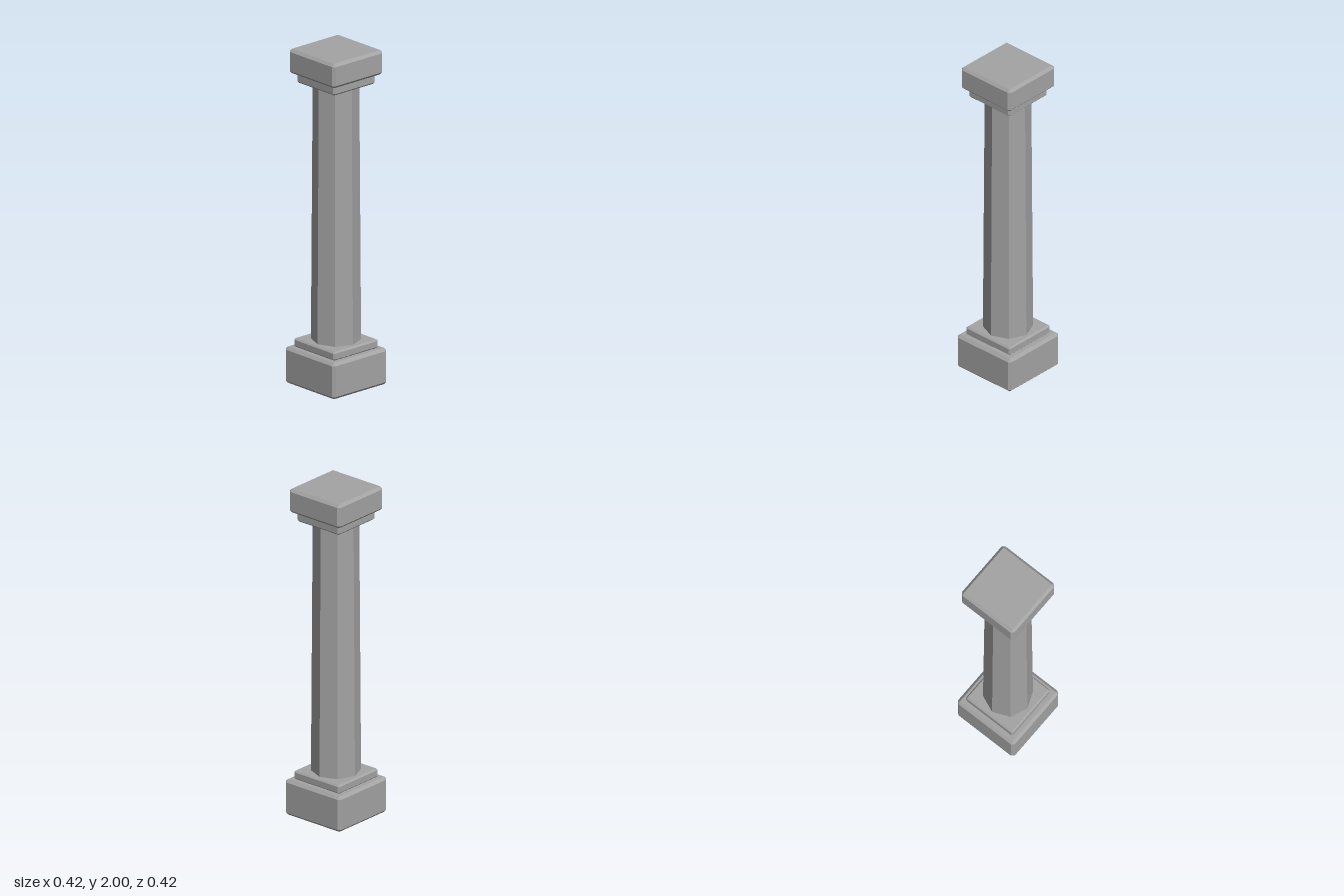
import * as THREE from 'three';
import { ConvexGeometry } from 'three/addons/geometries/ConvexGeometry.js';

const stone = new THREE.MeshStandardMaterial({ color: 0xa3a3a3 });
stone.name = 'grey stone';

// Square block with every edge chamfered by b
function chamferedBlock(half, y0, y1, b) {
  const h = (y1 - y0) / 2;
  const points = [];
  for (const sx of [-1, 1]) for (const sy of [-1, 1]) for (const sz of [-1, 1]) {
    points.push(
      new THREE.Vector3(sx * half, sy * (h - b), sz * (half - b)),
      new THREE.Vector3(sx * (half - b), sy * h, sz * (half - b)),
      new THREE.Vector3(sx * (half - b), sy * (h - b), sz * half));
  }
  return new ConvexGeometry(points).translate(0, (y0 + y1) / 2, 0);
}

export function createModel() {
  const model = new THREE.Group();
  model.name = 'column';

  // Base and capital: name, half width, bottom, top, chamfer
  const blocks = [
    ['plinth', 0.208, 0, 0.217, 0.016],
    ['baseStep', 0.17, 0.215, 0.268, 0.009],
    ['capitalStep', 0.158, 1.797, 1.856, 0.01],
    ['capital', 0.192, 1.854, 2, 0.016],
  ];
  for (const [name, half, y0, y1, b] of blocks) {
    const mesh = new THREE.Mesh(chamferedBlock(half, y0, y1, b), stone);
    mesh.name = name;
    model.add(mesh);
  }

  // Tapered octagonal shaft with a corner facing front
  const shaftGeo = new THREE.CylinderGeometry(0.132, 0.142, 1.54, 8).toNonIndexed();
  shaftGeo.computeVertexNormals();
  const shaft = new THREE.Mesh(shaftGeo, stone);
  shaft.name = 'shaft';
  shaft.position.y = 0.262 + 0.77;
  model.add(shaft);

  return model;
}
